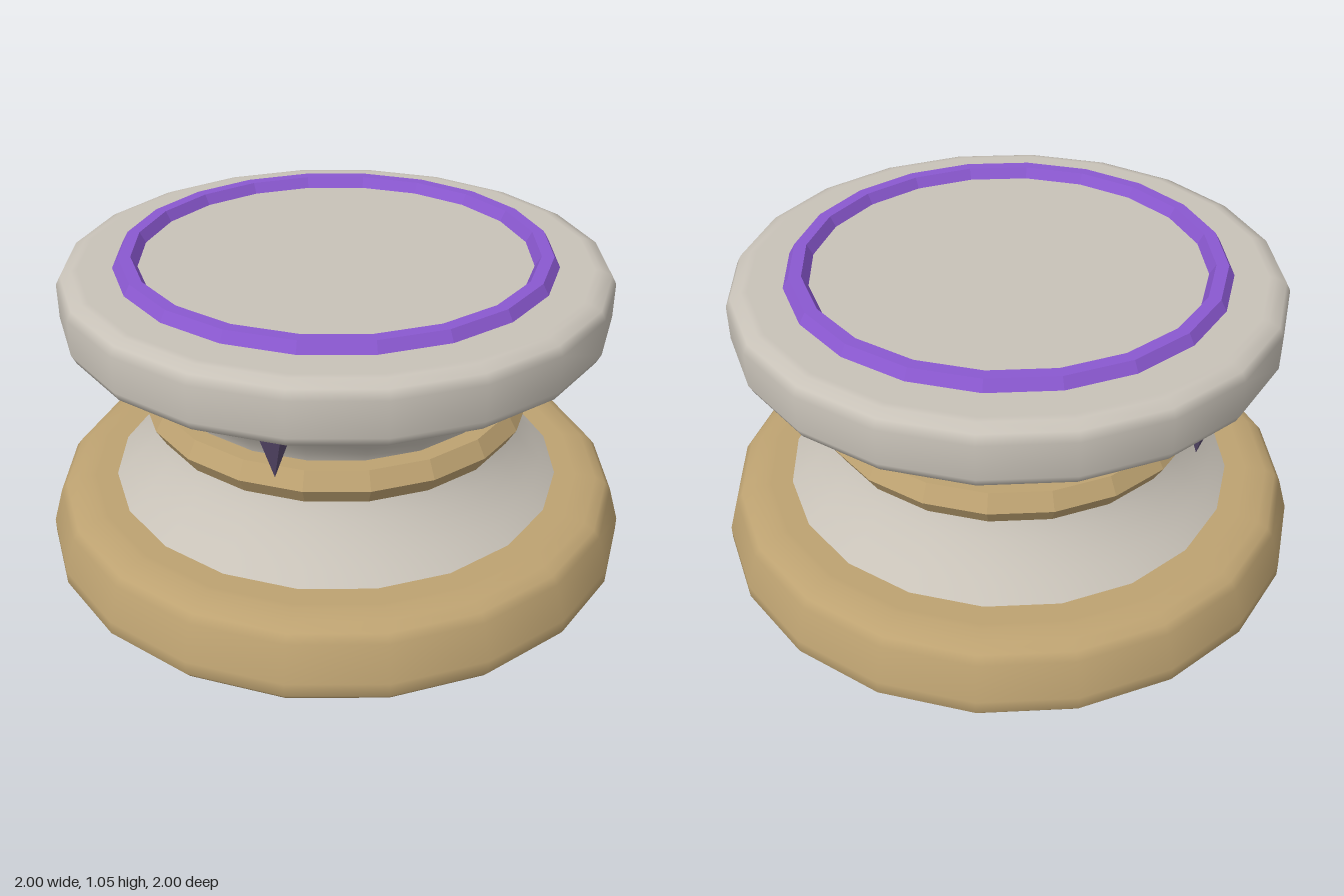
import * as THREE from 'three';

const SIDES = 20;

const mat = (name, color, flatShading = false) => {
  const m = new THREE.MeshStandardMaterial({ color, flatShading });
  m.name = name;
  return m;
};

export function createModel() {
  const group = new THREE.Group();
  group.name = 'pedestal';

  const stone = mat('pale stone', 0xc8c2b8);
  const sand = mat('sandstone', 0xbda271);
  const sandFlat = sand.clone();
  sandFlat.flatShading = true;
  const purple = mat('purple glow', 0x8a58d0, true);
  const crystal = mat('dark crystal', 0x584a6c, true);

  const add = (name, geometry, material) => {
    const mesh = new THREE.Mesh(geometry, material);
    mesh.name = name;
    group.add(mesh);
    return mesh;
  };

  // Turned part from [radius, height] pairs, bottom to top
  const turned = (name, profile, material) =>
    add(name, new THREE.LatheGeometry(profile.map(([r, y]) => new THREE.Vector2(r, y)), SIDES), material);

  // Horizontal ring with a six-sided section
  const ring = (name, radius, tube, y, material) => {
    const g = new THREE.TorusGeometry(radius, tube, 6, SIDES).rotateX(Math.PI / 2);
    add(name, g, material).position.y = y;
  };

  // Rounded base
  turned('base', [
    [0, 0], [0.92, 0], [0.94, 0], [0.98, 0.01], [1, 0.035], [1, 0.08],
    [0.965, 0.2], [0.945, 0.225], [0.91, 0.242], [0.86, 0.25], [0.84, 0.25], [0, 0.25],
  ], sand);

  // Waisted neck flaring into the base and the top slab
  const neck = new THREE.SplineCurve([
    [0.78, 0.24], [0.68, 0.33], [0.6, 0.43], [0.56, 0.53],
    [0.58, 0.61], [0.65, 0.71], [0.75, 0.82],
  ].map(([r, y]) => new THREE.Vector2(r, y)));
  add('neck', new THREE.LatheGeometry(neck.getPoints(18), SIDES), stone);

  // Band around the waist
  ring('waistBand', 0.59, 0.065, 0.525, sandFlat);

  // Rounded top slab
  turned('topSlab', [
    [0, 0.815], [0.83, 0.815], [0.85, 0.816], [0.885, 0.83], [0.9, 0.86],
    [0.9, 0.975], [0.885, 1.003], [0.85, 1.018], [0.83, 1.02], [0, 1.02],
  ], stone);

  // Inlaid ring on the top
  ring('topRing', 0.68, 0.04, 1.02, purple);

  // Three crystal spikes hanging under the slab
  for (let i = 0; i < 3; i++) {
    const a = 0.5 + (i * Math.PI * 2) / 3;
    const spike = add('hangingSpike', new THREE.ConeGeometry(0.07, 0.2, 5).rotateX(Math.PI), crystal);
    spike.position.set(Math.cos(a) * 0.755, 0.735, Math.sin(a) * 0.755);
    spike.rotation.y = Math.PI / 2 - a;
  }

  return group;
}
